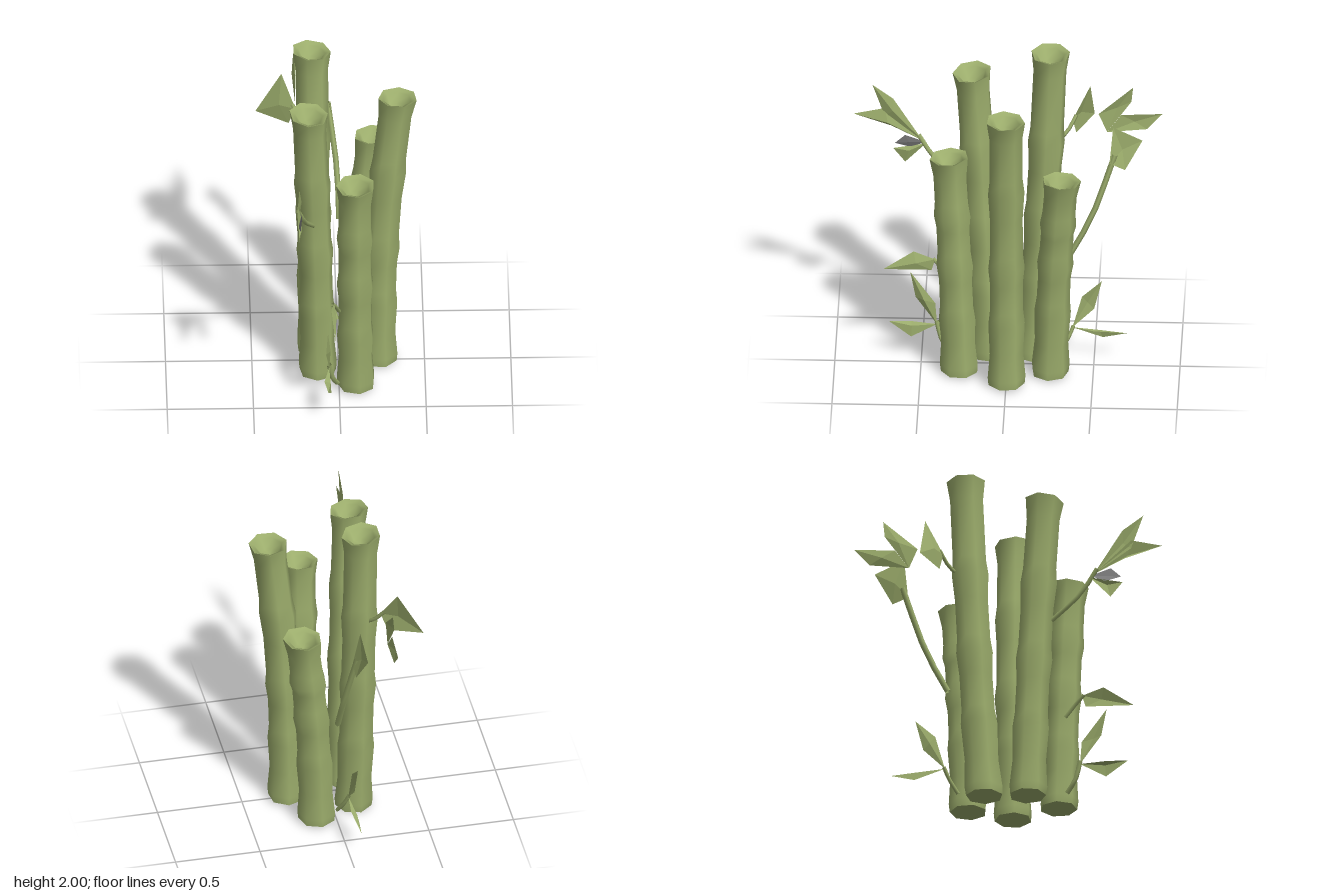
import * as THREE from 'three';

const SIDES = 7;

// Smooth skin through rings of { c: [x, y, z], r, tilt: [tx, tz] }
function loft(rings, twist) {
  const pos = [], idx = [];
  rings.forEach(({ c, r, tilt = [0, 0] }) => {
    for (let i = 0; i < SIDES; i++) {
      const a = twist + (i / SIDES) * Math.PI * 2;
      const x = Math.cos(a) * r, z = Math.sin(a) * r;
      pos.push(c[0] + x, c[1] + x * tilt[0] + z * tilt[1], c[2] + z);
    }
  });
  for (let j = 0; j < rings.length - 1; j++) {
    for (let i = 0; i < SIDES; i++) {
      const a = j * SIDES + i, b = j * SIDES + (i + 1) % SIDES;
      idx.push(a, a + SIDES, b, b, a + SIDES, b + SIDES);
    }
  }
  const g = new THREE.BufferGeometry();
  g.setAttribute('position', new THREE.Float32BufferAttribute(pos, 3));
  g.setIndex(idx);
  g.computeVertexNormals();
  return g;
}

// Four-cornered leaf (base, side, tip, side) with a raised fold along the middle
function leafGeometry(corners, fold = 0.015) {
  const p = corners.map((c) => new THREE.Vector3(...c));
  const normal = p[2].clone().sub(p[0]).cross(p[3].clone().sub(p[1])).normalize();
  const mid = new THREE.Vector3();
  p.forEach((v) => mid.addScaledVector(v, 0.25));
  mid.addScaledVector(normal, fold);
  const pts = [];
  for (let i = 0; i < 4; i++) pts.push(p[i], p[(i + 1) % 4], mid);
  const g = new THREE.BufferGeometry().setFromPoints(pts);
  g.computeVertexNormals();
  return g;
}

export function createModel() {
  const group = new THREE.Group();
  const green = new THREE.MeshStandardMaterial({ color: 0x9cad6c, side: THREE.DoubleSide });
  green.name = 'bambooGreen';
  const grey = new THREE.MeshStandardMaterial({ color: 0x808080, side: THREE.DoubleSide });
  grey.name = 'leafGrey';

  const add = (name, geometry, material = green, parent = group) => {
    const m = new THREE.Mesh(geometry, material);
    m.name = name;
    parent.add(m);
  };

  // Stalks: base centre, middle centre, top centre, rim tilt, node heights
  const stalks = [
    ['tallStalk', [-0.13, 0, -0.14], [-0.145, 1, -0.2], [-0.152, 1.99, -0.245], [-0.08, 0.02], [0.45, 0.9, 1.4]],
    ['frontRightStalk', [-0.12, 0, 0.11], [-0.14, 0.9, 0.15], [-0.175, 1.845, 0.21], [-0.1, -0.1], [0.42, 0.85, 1.33]],
    ['frontStalk', [0.1, 0.012, 0.275], [0.095, 0.7, 0.3], [0.095, 1.43, 0.335], [0.03, -0.08], [0.36, 0.72, 1.05]],
    ['leftStalk', [0.235, 0.012, 0], [0.258, 0.9, 0], [0.345, 1.82, 0], [-0.02, 0.04], [0.42, 0.8, 1.32]],
    ['backStalk', [0.11, 0.012, -0.25], [0.14, 0.7, -0.275], [0.21, 1.35, -0.32], [0.04, 0.06], [0.42, 0.75, 1.02]],
  ];
  stalks.forEach(([name, base, mid, top, tilt, nodes], k) => {
    const curve = new THREE.QuadraticBezierCurve3(
      new THREE.Vector3(...base),
      new THREE.Vector3(...mid.map((v, i) => 2 * v - (base[i] + top[i]) / 2)),
      new THREE.Vector3(...top));
    const at = (y, r) => {
      const p = curve.getPoint(THREE.MathUtils.clamp((y - base[1]) / (top[1] - base[1]), 0, 1));
      return { c: [p.x, y, p.z], r };
    };
    const topY = top[1];
    const rings = [at(base[1], 0.108), at(base[1] + 0.05, 0.113), at(0.22, 0.1)];
    nodes.forEach((y, i) => {
      rings.push(at(y, 0.109), at(y + 0.09, 0.099));
      if (i < nodes.length - 1) rings.push(at((y + nodes[i + 1]) / 2 + 0.08, 0.098));
    });
    rings.push(at(topY - 0.12, 0.098));
    const rim = { ...at(topY, 0.114), tilt };
    rings.push(rim);
    const stalk = new THREE.Group();
    stalk.name = name;
    group.add(stalk);
    const twist = k * 0.7;
    add('stalkSide', loft(rings, twist), green, stalk);
    add('stalkBottom', loft([at(base[1], 0), rings[0]], twist), green, stalk);
    // Hollow end
    add('stalkHollow', loft([rim, { ...at(topY - 0.015, 0.082), tilt }, at(topY - 0.07, 0.05), at(topY - 0.075, 0)], twist), green, stalk);
  });

  // Branches that carry the leaves
  const stems = [
    [0.014, [-0.15, 1.1, 0.25], [-0.2, 1.24, 0.42], [-0.24, 1.38, 0.52]],
    [0.018, [0.01, 0.74, -0.36], [0, 1.0, -0.49], [-0.05, 1.38, -0.62]],
    [0.012, [-0.18, 1.4, -0.29], [-0.21, 1.44, -0.34], [-0.26, 1.52, -0.39]],
    [0.012, [0.0, 0.55, 0.32], [-0.02, 0.62, 0.38], [-0.04, 0.67, 0.43]],
    [0.015, [-0.01, 0.06, 0.33], [-0.04, 0.13, 0.38], [-0.06, 0.24, 0.41]],
    [0.012, [0.0, 0.08, -0.3], [-0.03, 0.16, -0.35], [-0.05, 0.23, -0.38]],
  ];
  stems.forEach(([r, ...pts]) => {
    const path = new THREE.CatmullRomCurve3(pts.map((p) => new THREE.Vector3(...p)));
    add('branch', new THREE.TubeGeometry(path, 4, r, 5));
  });

  // Leaves
  const leaves = {
    frontForkUpper: [[-0.23, 1.35, 0.5], [-0.24, 1.62, 0.67], [-0.24, 1.71, 0.79], [-0.25, 1.5, 0.72]],
    frontForkLower: [[-0.23, 1.35, 0.5], [-0.25, 1.55, 0.72], [-0.25, 1.51, 0.9], [-0.24, 1.44, 0.68]],
    backForkUpper: [[-0.24, 1.42, -0.57], [-0.24, 1.54, -0.52], [-0.24, 1.72, -0.72], [-0.25, 1.62, -0.71]],
    backForkLower: [[-0.24, 1.42, -0.57], [-0.25, 1.53, -0.65], [-0.235, 1.55, -0.89], [-0.23, 1.45, -0.8]],
    sideLeaf: [[-0.24, 1.5, -0.37], [-0.32, 1.68, -0.47], [-0.47, 1.41, -0.49], [-0.28, 1.39, -0.39]],
    backBranchLeaf: [[-0.03, 1.33, -0.59], [-0.07, 1.55, -0.61], [-0.08, 1.46, -0.78], [-0.03, 1.29, -0.68]],
    frontMiddleLeaf: [[-0.03, 0.67, 0.42], [-0.05, 0.71, 0.545], [-0.03, 0.6, 0.72], [-0.03, 0.6, 0.44]],
    frontLowUpright: [[-0.06, 0.22, 0.41], [-0.06, 0.36, 0.42], [-0.07, 0.56, 0.565], [-0.08, 0.39, 0.535]],
    frontLowFlat: [[-0.06, 0.22, 0.41], [-0.09, 0.22, 0.56], [-0.07, 0.23, 0.69], [-0.05, 0.14, 0.56]],
    backLowUpright: [[-0.05, 0.22, -0.375], [-0.06, 0.42, -0.43], [-0.07, 0.52, -0.545], [-0.06, 0.34, -0.5]],
    backLowFlat: [[-0.05, 0.22, -0.375], [-0.04, 0.2, -0.5], [-0.06, 0.18, -0.69], [-0.08, 0.14, -0.55]],
    frontSmallLeaf: [[-0.23, 1.33, 0.48], [-0.24, 1.31, 0.56], [-0.24, 1.29, 0.67], [-0.24, 1.2, 0.6]],
  };
  for (const [name, corners] of Object.entries(leaves)) add(name, leafGeometry(corners));
  add('frontSmallLeafUnderside',
    leafGeometry([[-0.23, 1.34, 0.48], [-0.22, 1.39, 0.6], [-0.23, 1.33, 0.66], [-0.24, 1.3, 0.57]], 0.005), grey);

  return group;
}
